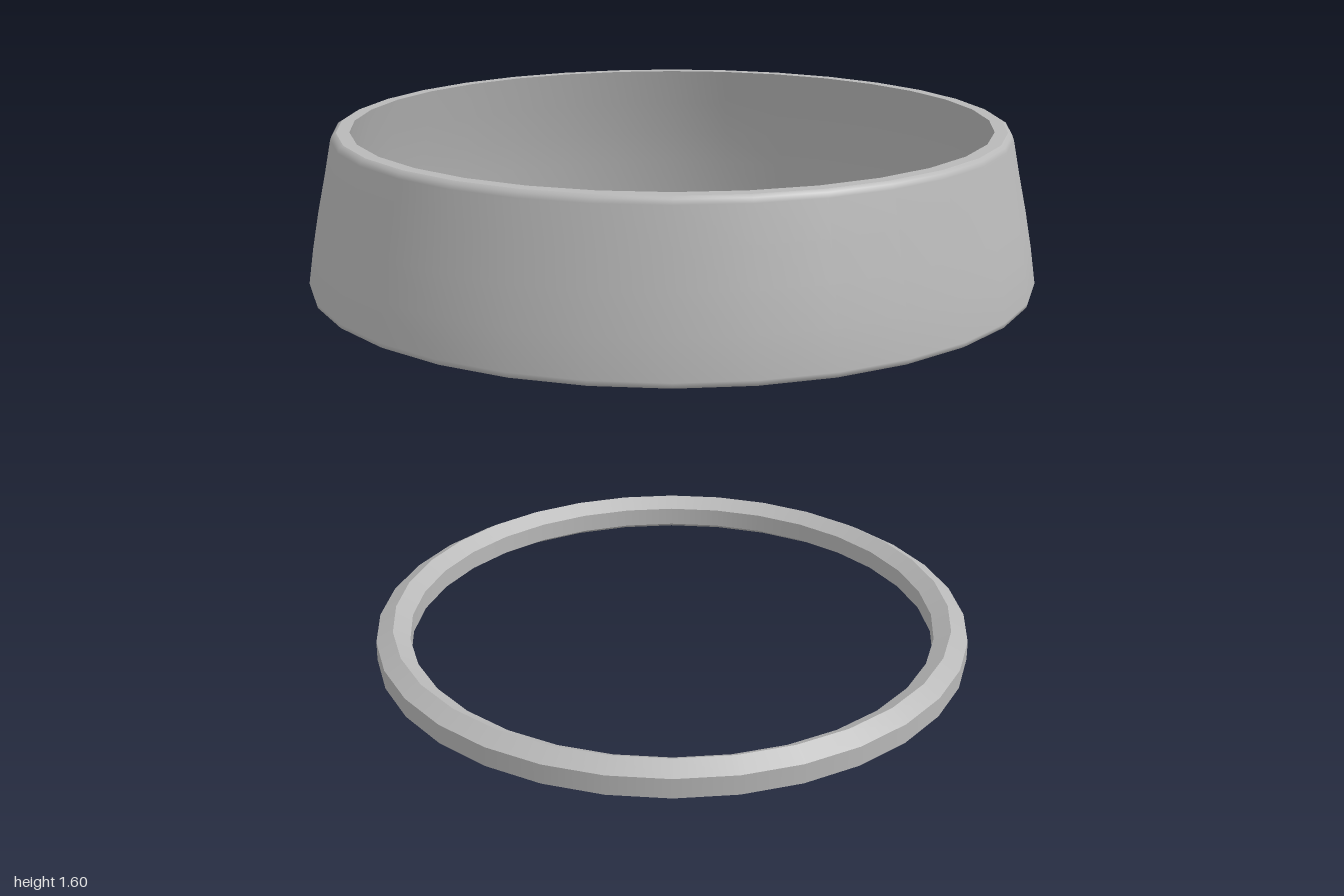
import * as THREE from 'three';

const SEGMENTS = 32;
const gray = new THREE.MeshStandardMaterial({ color: 0xb8b8b8 });
gray.name = 'gray';

// Revolves a run of [radius, y] points; smooth within the run, sharp between runs
function band(name, points) {
  const profile = points.map(([r, y]) => new THREE.Vector2(r, y));
  const mesh = new THREE.Mesh(new THREE.LatheGeometry(profile, SEGMENTS), gray);
  mesh.name = name;
  return mesh;
}

export function createModel() {
  const model = new THREE.Group();
  model.name = 'collarAndRing';

  // Upper tapered collar: thin wall, slightly bulged, rounded outer edges
  const collar = new THREE.Group();
  collar.name = 'taperedCollar';
  collar.add(
    band('outerWall', [[0.988, 1.175], [0.997, 1.18], [1, 1.192], [0.983, 1.29], [0.962, 1.39],
      [0.938, 1.49], [0.918, 1.58], [0.913, 1.592], [0.902, 1.598]]),
    band('topRim', [[0.902, 1.598], [0.867, 1.598]]),
    band('innerWall', [[0.867, 1.598], [0.894, 1.49], [0.916, 1.39], [0.934, 1.29], [0.948, 1.175]]),
    band('bottomRim', [[0.948, 1.175], [0.988, 1.175]])
  );
  model.add(collar);

  // Lower sealing ring with a hexagonal section
  const ring = new THREE.Group();
  ring.name = 'hexagonalRing';
  const radius = 0.84, size = 0.0575;
  const corner = (i) => {
    const a = (i * Math.PI) / 3 - Math.PI / 6;
    return [radius + size * Math.cos(a), size + size * Math.sin(a)];
  };
  for (let i = 0; i < 6; i++) ring.add(band('ringFace' + (i + 1), [corner(i), corner(i + 1)]));
  model.add(ring);

  return model;
}
